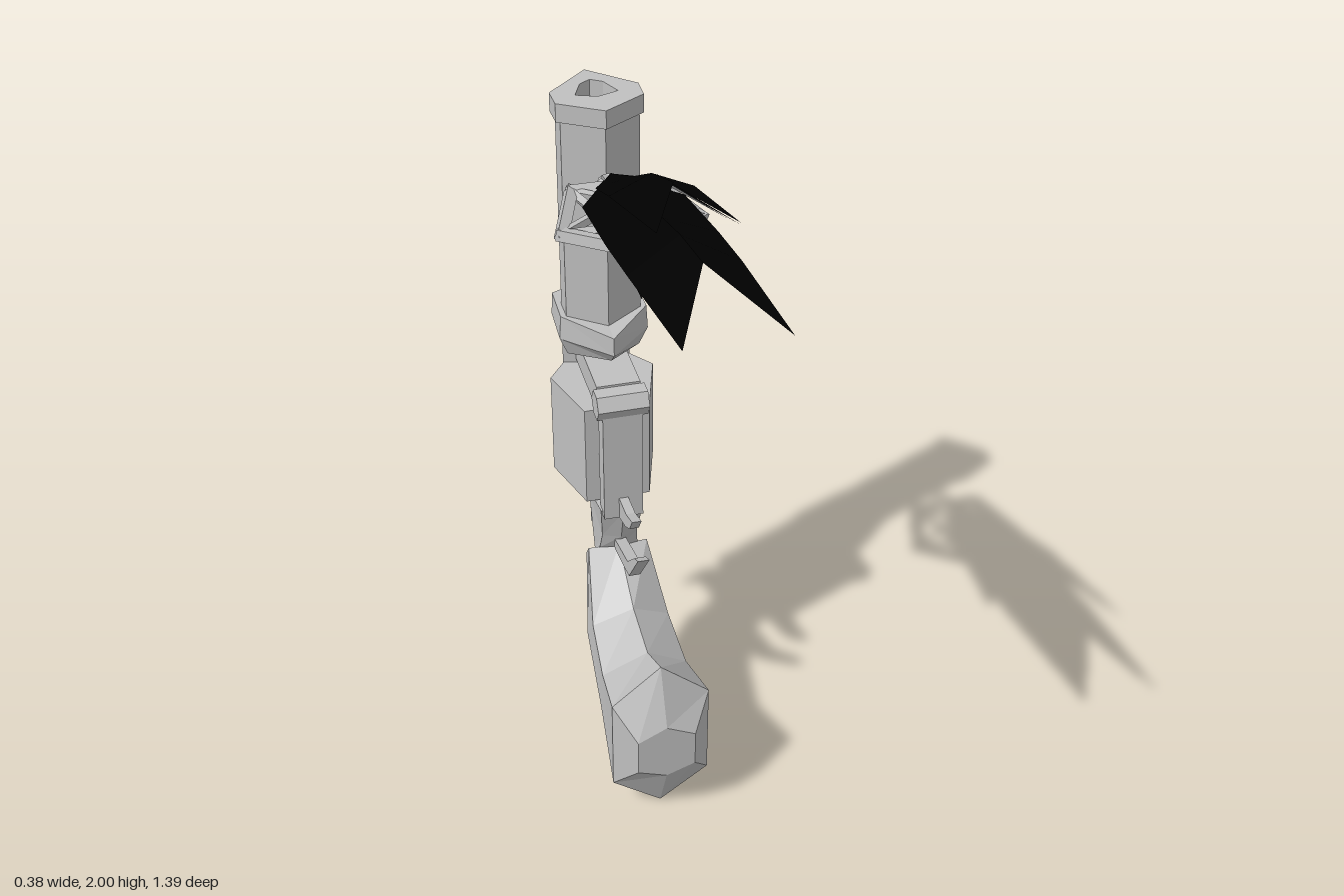
import * as THREE from 'three';

const mat = (name, color) => {
  const m = new THREE.MeshStandardMaterial({ color, flatShading: true });
  m.name = name;
  return m;
};

// Half outline (x >= 0) to full symmetric outline
const mirror = (half) => [
  ...half,
  ...half.filter((p) => p[0] > 0).reverse().map(([x, ...r]) => [-x, ...r]),
];

const toShape = (pts) => new THREE.Shape(pts.map(([a, b]) => new THREE.Vector2(a, b)));

// Vertical prism from an (x, z) outline, with an optional hole wound the other way
function prism(half, y0, y1, hole) {
  const flip = (h) => mirror(h).map(([x, z]) => [x, -z]);
  const shape = toShape(flip(half));
  if (hole) shape.holes.push(toShape(flip(hole).reverse()));
  return new THREE.ExtrudeGeometry(shape, { depth: y1 - y0, bevelEnabled: false })
    .rotateX(-Math.PI / 2).translate(0, y0, 0);
}

// Side silhouette in (z, y), given thickness across x
function sidePlate(pts, width) {
  return new THREE.ExtrudeGeometry(toShape(pts), { depth: width, bevelEnabled: false })
    .rotateY(-Math.PI / 2).translate(width / 2, 0, 0);
}

function flatGeometry(tris) {
  const g = new THREE.BufferGeometry();
  g.setAttribute('position', new THREE.Float32BufferAttribute(tris.flat(2), 3));
  g.computeVertexNormals();
  return g;
}

// Closed skin over half cross-sections of [x, y, z] points, facing outwards
function loft(halves) {
  const secs = halves.map(mirror);
  const n = secs[0].length;
  const tris = [];
  for (let s = 0; s < secs.length - 1; s++) {
    for (let i = 0; i < n; i++) {
      const j = (i + 1) % n;
      const [a, b, c, d] = [secs[s][i], secs[s][j], secs[s + 1][j], secs[s + 1][i]];
      tris.push([a, b, c], [a, c, d]);
    }
  }
  const cap = (sec, flip) => {
    const mid = [0, 1, 2].map((k) => sec.reduce((t, p) => t + p[k], 0) / n);
    sec.forEach((p, i) => {
      const q = sec[(i + 1) % n];
      tris.push(flip ? [mid, q, p] : [mid, p, q]);
    });
  };
  cap(secs[0], true);
  cap(secs[secs.length - 1], false);
  const v = (p) => new THREE.Vector3(...p);
  const volume = tris.reduce((t, [a, b, c]) => t + v(a).dot(v(b).cross(v(c))), 0);
  return flatGeometry(volume < 0 ? tris.map(([a, b, c]) => [a, c, b]) : tris);
}

// One face of a folded feather; inset draws the edges in towards the spine
function featherFace(spine, edge, drop, under, inset) {
  const tris = [];
  for (const s of [1, -1]) {
    const c = spine.map(([y, z]) => [0, y - drop, z]);
    const e = edge.map(([x, y, z], i) => {
      const p = [s * x, y - drop, z];
      return p.map((v, k) => v + (c[i][k] - v) * inset);
    });
    for (let i = 0; i < c.length - 1; i++) {
      const quad = [[c[i], c[i + 1], e[i + 1]]];
      if (i > 0) quad.push([c[i], e[i + 1], e[i]]);
      for (const [p, q, r] of quad) tris.push((s > 0) !== under ? [p, q, r] : [p, r, q]);
    }
  }
  return flatGeometry(tris);
}

export function createModel() {
  const model = new THREE.Group();
  const steel = mat('grey', 0xc0c0c0);
  const black = mat('black', 0x000000);
  const add = (name, geometry, material = steel, parent = model) => {
    const m = new THREE.Mesh(geometry, material);
    m.name = name;
    parent.add(m);
    return m;
  };

  // Barrel and hollow muzzle
  const bore = [[0, -0.635], [0.03, -0.615], [0.055, -0.555], [0, -0.535]];
  add('barrel', prism([[0, -0.688], [0.103, -0.58], [0.102, -0.52], [0, -0.46]], 1.2, 1.82));
  add('muzzle', prism([[0, -0.695], [0.115, -0.585], [0.113, -0.52], [0, -0.45]], 1.815, 1.865, bore));

  // Collar at the root of the barrel
  add('collar', loft([
    [[0, 1.13, -0.685], [0.1, 1.13, -0.64], [0.1, 1.125, -0.53], [0, 1.145, -0.435]],
    [[0, 1.185, -0.695], [0.118, 1.185, -0.645], [0.122, 1.18, -0.52], [0, 1.18, -0.4]],
    [[0, 1.25, -0.695], [0.115, 1.25, -0.645], [0.118, 1.25, -0.52], [0, 1.235, -0.4]],
  ]));

  // Frame around the drum
  add('frameSpine', prism([[0, -0.668], [0.09, -0.642], [0.095, -0.625], [0, -0.6]], 0.72, 1.14));
  add('topStrap', new THREE.BoxGeometry(0.12, 0.075, 0.285).translate(0, 1.084, -0.497));
  add('rearStrap', new THREE.BoxGeometry(0.11, 0.35, 0.052).translate(0, 0.885, -0.335));
  add('hingePin', new THREE.CylinderGeometry(0.042, 0.042, 0.14, 6).rotateZ(Math.PI / 2).translate(0, 1.08, -0.332));
  add('drum', prism([[0.085, -0.635], [0.145, -0.555], [0.09, -0.375]], 0.73, 1.035));

  // Curved grip, from its butt up to the frame
  add('grip', loft([
    [[0, 0.35, 0.17], [0.08, 0.31, 0.17], [0.08, 0.2, 0.17], [0, 0.17, 0.17]],
    [[0, 0.51, 0.1], [0.135, 0.395, 0.1], [0.135, 0.105, 0.1], [0, 0.005, 0.1]],
    [[0, 0.435, -0.045], [0.12, 0.345, -0.08], [0.12, 0.2, -0.11], [0, 0.105, -0.12]],
    [[0, 0.46, -0.205], [0.11, 0.39, -0.24], [0.11, 0.295, -0.32], [0, 0.21, -0.35]],
    [[0, 0.56, -0.375], [0.085, 0.55, -0.39], [0.075, 0.47, -0.47], [0, 0.455, -0.51]],
  ]));
  add('gripNeck', loft([
    [[0, 0.56, -0.365], [0.055, 0.555, -0.38], [0.05, 0.48, -0.47], [0, 0.46, -0.51]],
    [[0, 0.61, -0.345], [0.05, 0.61, -0.365], [0.05, 0.64, -0.53], [0, 0.65, -0.605]],
    [[0, 0.725, -0.31], [0.06, 0.725, -0.33], [0.092, 0.725, -0.62], [0, 0.725, -0.667]],
  ]));

  // Hammer spurs and trigger
  add('upperSpur', sidePlate([[-0.16, 0.805], [-0.23, 0.78], [-0.32, 0.775], [-0.32, 0.705], [-0.24, 0.73], [-0.19, 0.76]], 0.026));
  add('lowerSpur', sidePlate([[-0.085, 0.73], [-0.125, 0.71], [-0.205, 0.635], [-0.36, 0.595], [-0.36, 0.56], [-0.19, 0.595]], 0.032));
  add('trigger', sidePlate([[-0.56, 0.67], [-0.595, 0.65], [-0.6, 0.565], [-0.66, 0.54], [-0.655, 0.435], [-0.635, 0.45],
    [-0.63, 0.5], [-0.52, 0.535], [-0.52, 0.555], [-0.58, 0.57]], 0.04));

  // Hanging charm: five-sided rim with crossing bars
  const charm = new THREE.Group();
  charm.name = 'charm';
  model.add(charm);
  const corner = (k) => {
    const a = (k * Math.PI * 2) / 5;
    return new THREE.Vector3(Math.sin(a) * 0.18, 1.687, -0.247 + Math.cos(a) * 0.18);
  };
  const bar = (name, a, b, radius) => {
    const g = new THREE.CylinderGeometry(radius, radius, a.distanceTo(b) + 0.02, 4);
    const m = add(name, g, steel, charm);
    m.position.copy(a).lerp(b, 0.5);
    m.quaternion.setFromUnitVectors(new THREE.Vector3(0, 1, 0), b.clone().sub(a).normalize());
  };
  for (let k = 0; k < 5; k++) {
    bar('charmRim', corner(k), corner(k + 1), 0.02);
    bar('charmCrossbar', corner(k), corner(k + 2), 0.013);
  }
  add('charmLoop', new THREE.TorusGeometry(0.022, 0.01, 4, 8).rotateX(Math.PI / 2).translate(0, 1.687, -0.425), steel, charm);

  // Swallow-tailed feathers: spine points (y, z), edge points (x, y, z)
  const feathers = [
    [[[1.72, -0.4], [1.825, -0.18], [1.925, 0], [2, 0.19]],
      [[0, 1.72, -0.4], [0.09, 1.805, -0.18], [0.1, 1.88, 0], [0.09, 2, 0.395]]],
    [[[1.717, -0.41], [1.785, -0.17], [1.865, 0.1], [1.905, 0.25], [1.938, 0.43]],
      [[0, 1.717, -0.41], [0.125, 1.765, -0.17], [0.13, 1.812, 0.1], [0.128, 1.845, 0.29], [0.115, 1.907, 0.695]]],
    [[[1.717, -0.4], [1.728, -0.12], [1.722, 0.02]],
      [[0, 1.717, -0.4], [0.065, 1.712, -0.15], [0.06, 1.69, 0.145]]],
  ];
  for (const [spine, edge] of feathers) {
    add('featherTop', featherFace(spine, edge, 0, false, 0), black);
    add('featherRim', featherFace(spine, edge, 0.005, true, 0), black);
    add('featherUnderside', featherFace(spine, edge, 0.009, true, 0.18), steel);
  }
  return model;
}
